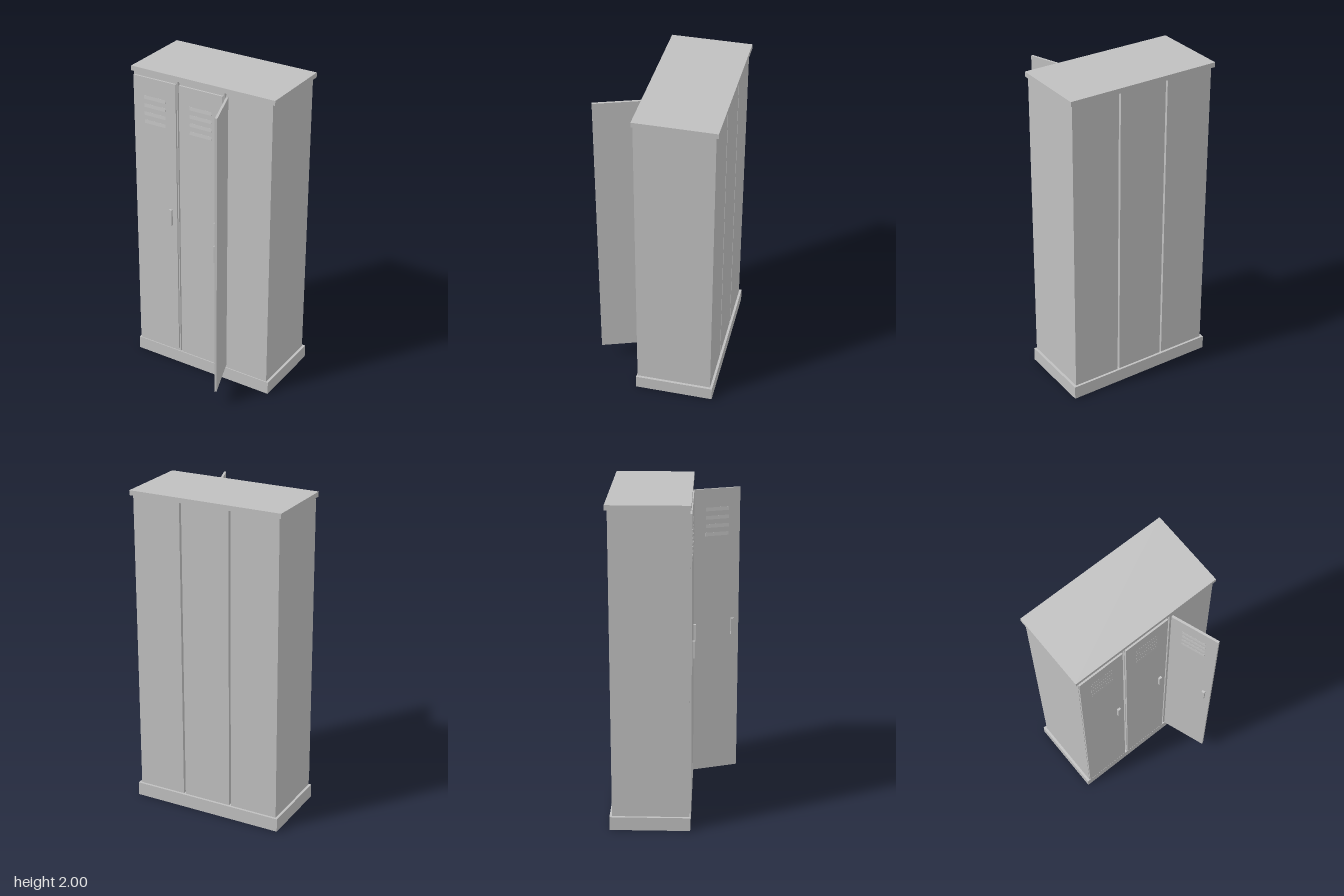
import * as THREE from 'three';

const DOOR_W = 0.297, DOOR_T = 0.014, DOOR_BOTTOM = 0.11, DOOR_TOP = 1.95;

export function createModel() {
  const model = new THREE.Group();
  model.name = 'lockerCabinet';
  const paint = new THREE.MeshStandardMaterial({ color: 0xc0c0c0 });
  paint.name = 'grey metal';

  // Box given by its minimum and maximum corners
  function box(parent, name, [x0, y0, z0], [x1, y1, z1]) {
    const mesh = new THREE.Mesh(new THREE.BoxGeometry(x1 - x0, y1 - y0, z1 - z0), paint);
    mesh.position.set((x0 + x1) / 2, (y0 + y1) / 2, (z0 + z1) / 2);
    mesh.name = name;
    parent.add(mesh);
    return mesh;
  }

  // Plinth and top board
  box(model, 'plinth', [-0.488, 0, -0.387], [0.488, 0.085, 0.101]);
  box(model, 'topBoard', [-0.488, 1.97, -0.387], [0.488, 2, 0.101]);

  // Three separate lockers with narrow gaps between them
  for (const [x0, x1] of [[-0.472, -0.166], [-0.153, 0.153], [0.166, 0.472]]) {
    box(model, 'lockerBody', [x0, 0.085, -0.372], [x1, 1.97, 0.095]);
  }

  // Vent louvre: a wedge whose lower edge stands proud of the door
  const wedge = new THREE.Shape();
  wedge.moveTo(-0.002, 0);
  wedge.lineTo(0.003, 0);
  wedge.lineTo(0.0005, 0.022);
  wedge.lineTo(-0.002, 0.022);
  const louvre = new THREE.ExtrudeGeometry(wedge, { depth: 0.149, bevelEnabled: false });
  louvre.rotateY(-Math.PI / 2); // length runs along -x, profile faces +z

  // Door hinged on its left front edge as seen from the front
  function door(name, x, z, angle) {
    const group = new THREE.Group();
    group.name = name;
    box(group, 'doorPanel', [0, DOOR_BOTTOM, -DOOR_T], [DOOR_W, DOOR_TOP, 0]);
    box(group, 'handle', [0.244, 1.012, 0], [0.264, 1.118, 0.014]);
    for (let i = 0; i < 4; i++) {
      const vent = new THREE.Mesh(louvre, paint);
      vent.name = 'ventLouvre';
      vent.position.set(0.224, 1.813 - i * 0.052, 0);
      group.add(vent);
    }
    group.position.set(x, 0, z);
    group.rotation.y = angle;
    model.add(group);
  }
  door('rightDoor', -0.47, 0.106, 0);
  door('middleDoor', -0.15, 0.106, 0);
  door('leftDoorOpen', 0.17, 0.105, THREE.MathUtils.degToRad(-70.3));

  return model;
}
